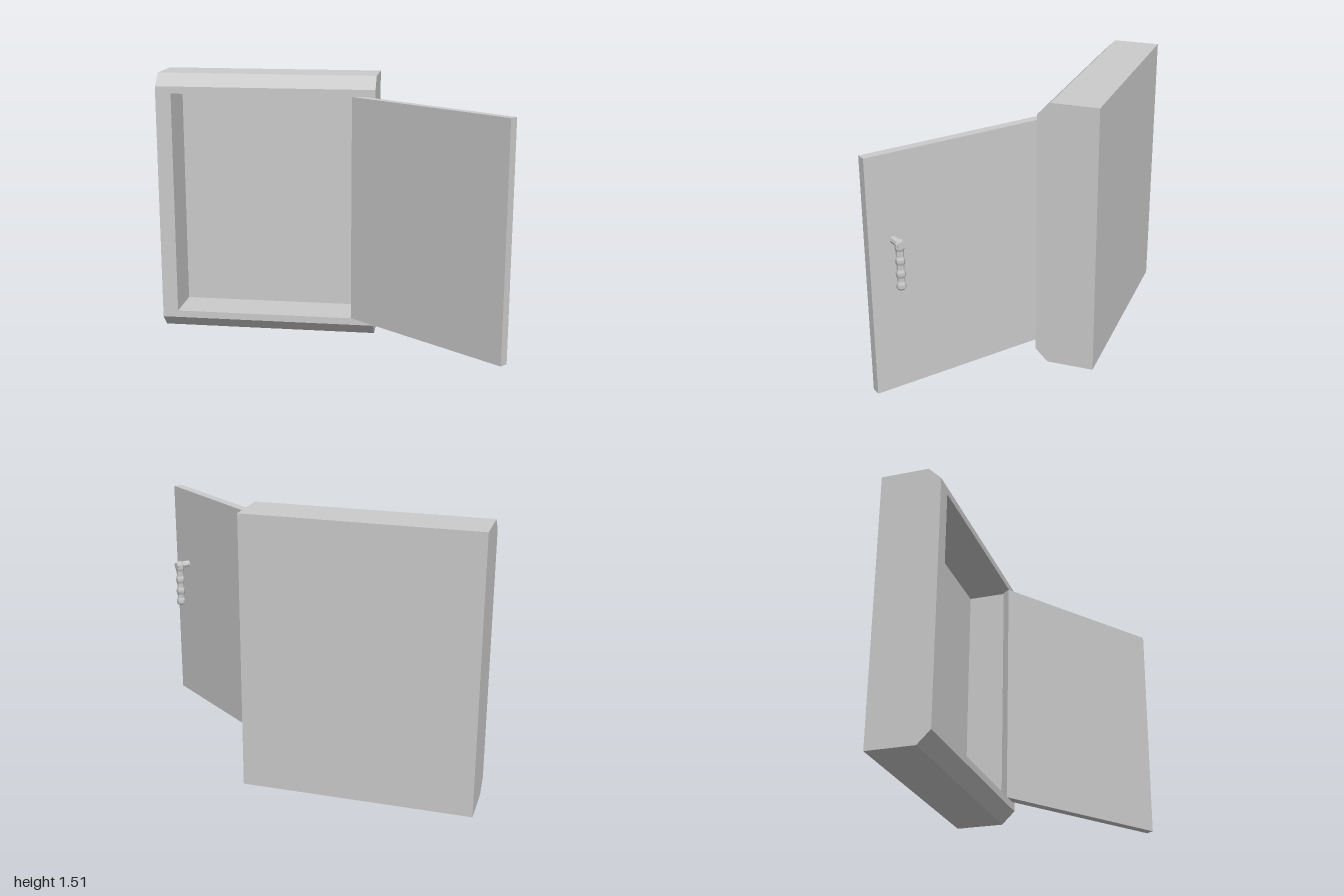
import * as THREE from 'three';

const material = new THREE.MeshStandardMaterial({ color: 0xcccccc, flatShading: true, side: THREE.DoubleSide });

function part(name, geometry, x = 0, y = 0, z = 0) {
  const mesh = new THREE.Mesh(geometry, material);
  mesh.name = name;
  mesh.position.set(x, y, z);
  return mesh;
}

// Skins a row of rectangles [x0, x1, y0, y1, z] and caps both ends
function loftRectangles(rects) {
  const loops = rects.map(([x0, x1, y0, y1, z]) => [[x0, y0, z], [x1, y0, z], [x1, y1, z], [x0, y1, z]]);
  const points = [];
  const quad = (a, b, c, d) => points.push(...a, ...b, ...c, ...a, ...c, ...d);
  for (let i = 0; i + 1 < loops.length; i++) {
    for (let j = 0; j < 4; j++) {
      const k = (j + 1) % 4;
      quad(loops[i][j], loops[i][k], loops[i + 1][k], loops[i + 1][j]);
    }
  }
  quad(...[...loops[0]].reverse());
  quad(...loops[loops.length - 1]);
  const geometry = new THREE.BufferGeometry();
  geometry.setAttribute('position', new THREE.Float32BufferAttribute(points, 3));
  geometry.computeVertexNormals();
  return geometry;
}

export function createModel() {
  const model = new THREE.Group();
  model.name = 'openCabinet';

  // Case: bevelled top and bottom front edges, hollow towards the front
  model.add(part('case', loftRectangles([
    [-1, 0.25, 0, 1.51, -0.485],
    [-1, 0.25, 0, 1.51, -0.225],
    [-1, 0.25, 0.07, 1.44, -0.155],
    [-0.91, 0.16, 0.11, 1.4, -0.155],
    [-0.91, 0.16, 0.11, 1.4, -0.41],
  ])));

  // Door: swings about its hinge edge; local z = 0 is its outer face
  const door = new THREE.Group();
  door.name = 'door';
  door.position.set(0.12, 0, -0.157);
  door.rotation.y = -Math.atan2(0.6, 0.8);
  const length = 1.063, thickness = 0.05;
  door.add(part('doorPanel', new THREE.BoxGeometry(length, 1.29, thickness), length / 2, 0.755, -thickness / 2));
  model.add(door);

  // Handle: a short stem carrying a hanging grip with finger grooves
  const handle = new THREE.Group();
  handle.name = 'handle';
  handle.position.set(0.929, 0, -thickness);
  const stem = new THREE.CylinderGeometry(0.02, 0.02, 0.085, 8);
  stem.rotateX(Math.PI / 2);
  handle.add(part('handleStem', stem, 0, 0.95, -0.0425));
  const profile = [
    [0, 0.705], [0.018, 0.705], [0.025, 0.715], [0.025, 0.735], [0.02, 0.75], [0.02, 0.77],
    [0.025, 0.785], [0.025, 0.8], [0.02, 0.815], [0.02, 0.84], [0.025, 0.855], [0.025, 0.87],
    [0.02, 0.885], [0.02, 0.915], [0.025, 0.93], [0.025, 0.955], [0.018, 0.97], [0, 0.97],
  ].map(([r, y]) => new THREE.Vector2(r, y));
  const grip = new THREE.LatheGeometry(profile, 8);
  grip.rotateY(Math.PI / 8);
  handle.add(part('handleGrip', grip, 0, 0, -0.061));
  door.add(handle);

  return model;
}
